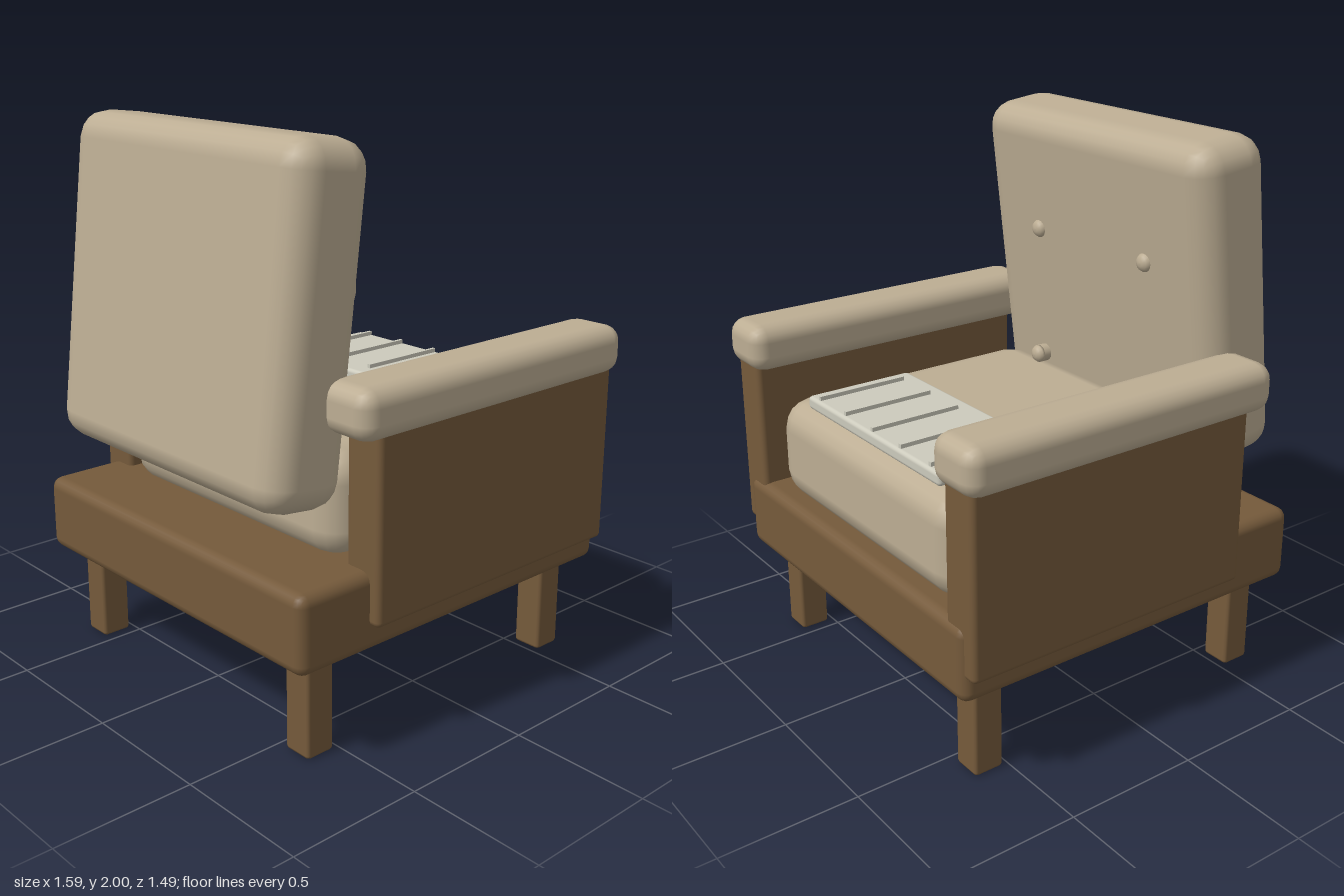
import * as THREE from 'three';
import { RoundedBoxGeometry } from 'three/addons/geometries/RoundedBoxGeometry.js';

const wood = new THREE.MeshStandardMaterial({ color: 0x755a3b });
wood.name = 'brown wood';
const fabric = new THREE.MeshStandardMaterial({ color: 0xbcad93 });
fabric.name = 'beige fabric';
const cloth = new THREE.MeshStandardMaterial({ color: 0xcccabc });
cloth.name = 'pale cloth';

// Rounded block from its lower and upper corners
function block(name, min, max, radius, material, segments = 2) {
  const size = max.map((v, i) => v - min[i]);
  const mesh = new THREE.Mesh(new RoundedBoxGeometry(...size, segments, radius), material);
  mesh.position.set(...max.map((v, i) => (v + min[i]) / 2));
  mesh.name = name;
  return mesh;
}

export function createModel() {
  const chair = new THREE.Group();
  chair.name = 'armchair';

  // Wooden base
  chair.add(block('base', [-0.725, 0.35, -0.73], [0.725, 0.63, 0.73], 0.04, wood));

  // Legs
  for (const x of [-0.592, 0.592]) {
    for (const z of [-0.578, 0.578]) {
      chair.add(block('leg', [x - 0.056, 0, z - 0.056], [x + 0.056, 0.4, z + 0.056], 0.012, wood, 1));
    }
  }

  // Side panels with padded armrests
  for (const side of [-1, 1]) {
    const x = side * 0.688;
    chair.add(block('sidePanel', [x - 0.077, 0.445, -0.718], [x + 0.077, 1.13, 0.437], 0.02, wood));
    const r = side * 0.682;
    chair.add(block('armrest', [r - 0.115, 1.085, -0.745], [r + 0.115, 1.26, 0.53], 0.06, fabric));
  }

  // Seat cushion
  chair.add(block('seatCushion', [-0.587, 0.6, -0.67], [0.587, 0.985, 0.462], 0.11, fabric));

  // Tilted back cushion
  const back = block('backCushion', [-0.618, 0.819, 0.368], [0.618, 1.997, 0.688], 0.1, fabric);
  back.rotation.x = -0.118;
  chair.add(back);

  // Buttons on the back cushion
  const profile = [[0, 0], [0.034, 0], [0.034, 0.01], [0.026, 0.022], [0.012, 0.028], [0, 0.029]]
    .map(([x, y]) => new THREE.Vector2(x, y));
  const buttonGeometry = new THREE.LatheGeometry(profile, 16);
  const backing = new THREE.CylinderGeometry(0.034, 0.034, 0.03, 16);
  for (const x of [-0.3, 0.3]) {
    for (const y of [1.02, 1.53]) {
      const button = new THREE.Group();
      button.name = 'button';
      const dome = new THREE.Mesh(buttonGeometry, fabric);
      dome.name = 'buttonDome';
      const stem = new THREE.Mesh(backing, fabric);
      stem.name = 'buttonBacking';
      stem.position.y = -0.015;
      button.add(dome, stem);
      button.rotation.x = -Math.PI / 2;
      button.position.set(x, y, 0.36);
      chair.add(button);
    }
  }

  // Folded cloth on the seat with raised ribs
  chair.add(block('seatCloth', [-0.43, 0.975, -0.612], [0.43, 1.025, -0.182], 0.015, cloth));
  for (let i = -2; i <= 2; i++) {
    const rib = new THREE.Mesh(new THREE.BoxGeometry(0.014, 0.02, 0.355), cloth);
    rib.position.set(i * 0.18, 1.03, -0.423);
    rib.name = 'clothRib';
    chair.add(rib);
  }
  return chair;
}
